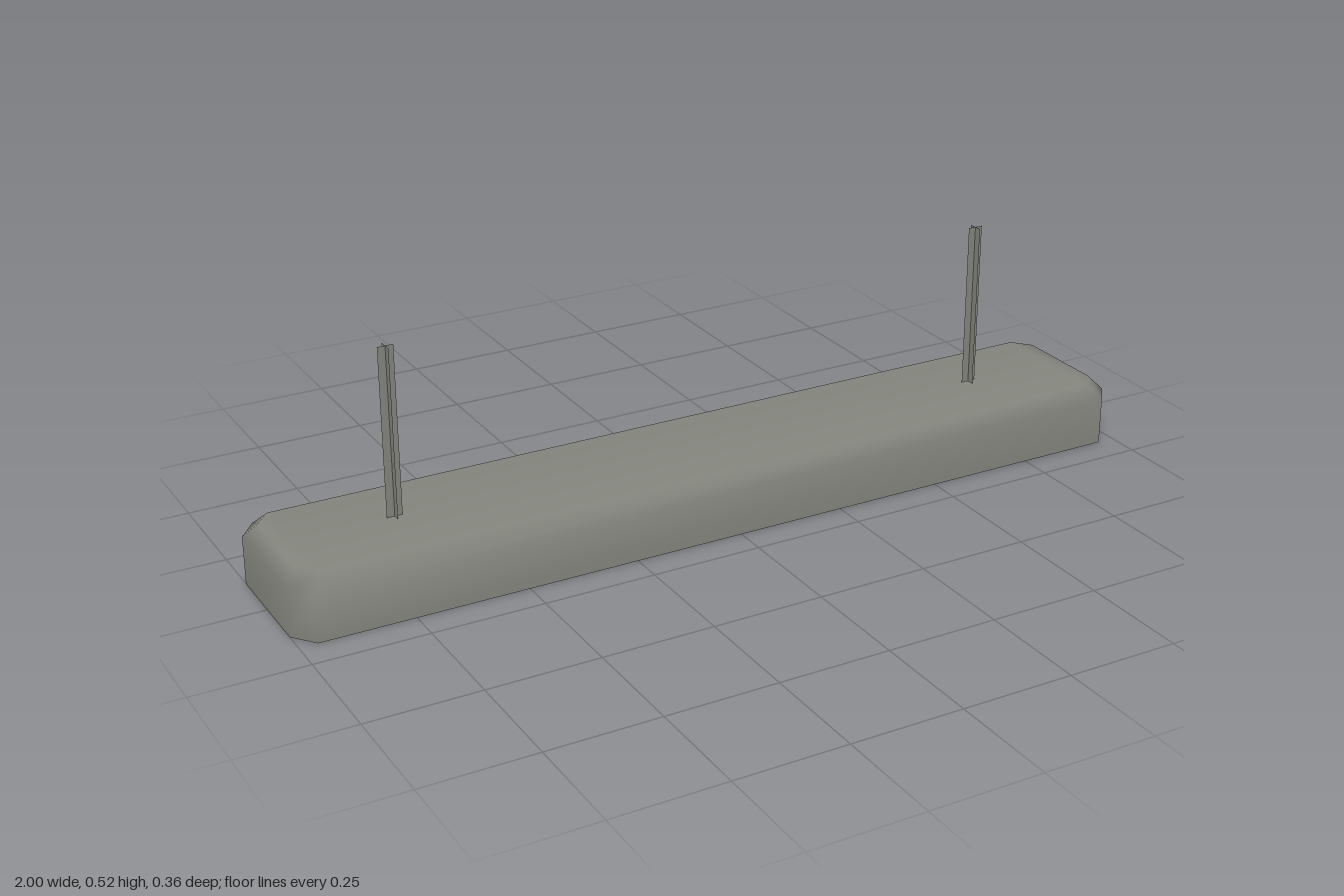
import * as THREE from 'three';

// Long octagon (rectangle with cut corners) as [x, z] points
function octagon(hx, hz, cx, cz) {
  return [
    [hx, hz - cz], [hx - cx, hz], [cx - hx, hz], [-hx, hz - cz],
    [-hx, cz - hz], [cx - hx, -hz], [hx - cx, -hz], [hx, cz - hz],
  ];
}

const toVectors = (points) => points.map(([x, z]) => new THREE.Vector2(x, z));

// Flat plate facing straight down
function plate(points, hole) {
  const shape = new THREE.Shape(toVectors(points));
  if (hole) shape.holes.push(new THREE.Path(toVectors(hole)));
  return new THREE.ShapeGeometry(shape).rotateX(Math.PI / 2);
}

// Softly shaded housing: stacked octagon sections closed at the top
function housingGeometry() {
  const sections = [
    [0, octagon(1, 0.178, 0.04, 0.05)],
    [0.108, octagon(1, 0.178, 0.04, 0.05)],
    [0.139, octagon(0.972, 0.147, 0.035, 0.04)],
  ];
  const positions = [];
  const index = [];
  for (const [y, ring] of sections) for (const [x, z] of ring) positions.push(x, y, z);
  for (let s = 0; s < 2; s++) {
    for (let i = 0; i < 8; i++) {
      const a = s * 8 + i, b = s * 8 + (i + 1) % 8;
      index.push(a, a + 8, b, b, a + 8, b + 8);
    }
  }
  for (const [a, b, c, d] of [[0, 1, 6, 7], [1, 2, 5, 6], [2, 3, 4, 5]]) {
    index.push(16 + a, 16 + c, 16 + b, 16 + a, 16 + d, 16 + c);
  }
  const geometry = new THREE.BufferGeometry();
  geometry.setAttribute('position', new THREE.Float32BufferAttribute(positions, 3));
  geometry.setIndex(index);
  geometry.computeVertexNormals();
  return geometry;
}

export function createModel() {
  const group = new THREE.Group();
  const material = (name, color, side = THREE.FrontSide) => {
    const m = new THREE.MeshStandardMaterial({ color, side });
    m.name = name;
    return m;
  };
  const greyMetal = material('grey metal', 0x84867e, THREE.DoubleSide);
  const darkRim = material('dark rim', 0x27100e);
  const brown = material('brown panel', 0x54382d);
  const lampGrey = material('lamp white', 0xe0d8d6);

  const add = (name, geometry, mat, x = 0, y = 0, z = 0) => {
    const mesh = new THREE.Mesh(geometry, mat);
    mesh.name = name;
    mesh.position.set(x, y, z);
    group.add(mesh);
    return mesh;
  };

  add('housing', housingGeometry(), greyMetal);

  // Underside: dark border around a panel with two long lamps
  const opening = octagon(0.935, 0.122, 0.05, 0.04);
  add('rim', plate(octagon(1, 0.178, 0.04, 0.05), opening), darkRim);
  add('panel', plate(octagon(0.95, 0.14, 0.04, 0.04)), brown, 0, 0.004, 0);
  const lamp = plate(octagon(0.87, 0.051, 0.03, 0.02));
  const bracket = plate(octagon(0.06, 0.032, 0.02, 0.012));
  const strip = new THREE.PlaneGeometry(0.035, 0.38);
  for (const side of [-1, 1]) {
    add('lamp', lamp, lampGrey, 0, 0.002, side * 0.069);
    add('lampBracket', bracket, brown, side * 0.43, 0.001, 0);
    // Hanging bars: two thin crossed strips each
    const x = side * 0.713 - 0.002;
    add('hangingBar', strip, greyMetal, x, 0.326, -0.004);
    add('hangingBarCross', strip, greyMetal, x, 0.326, -0.004).rotation.y = Math.PI / 2;
  }
  return group;
}
